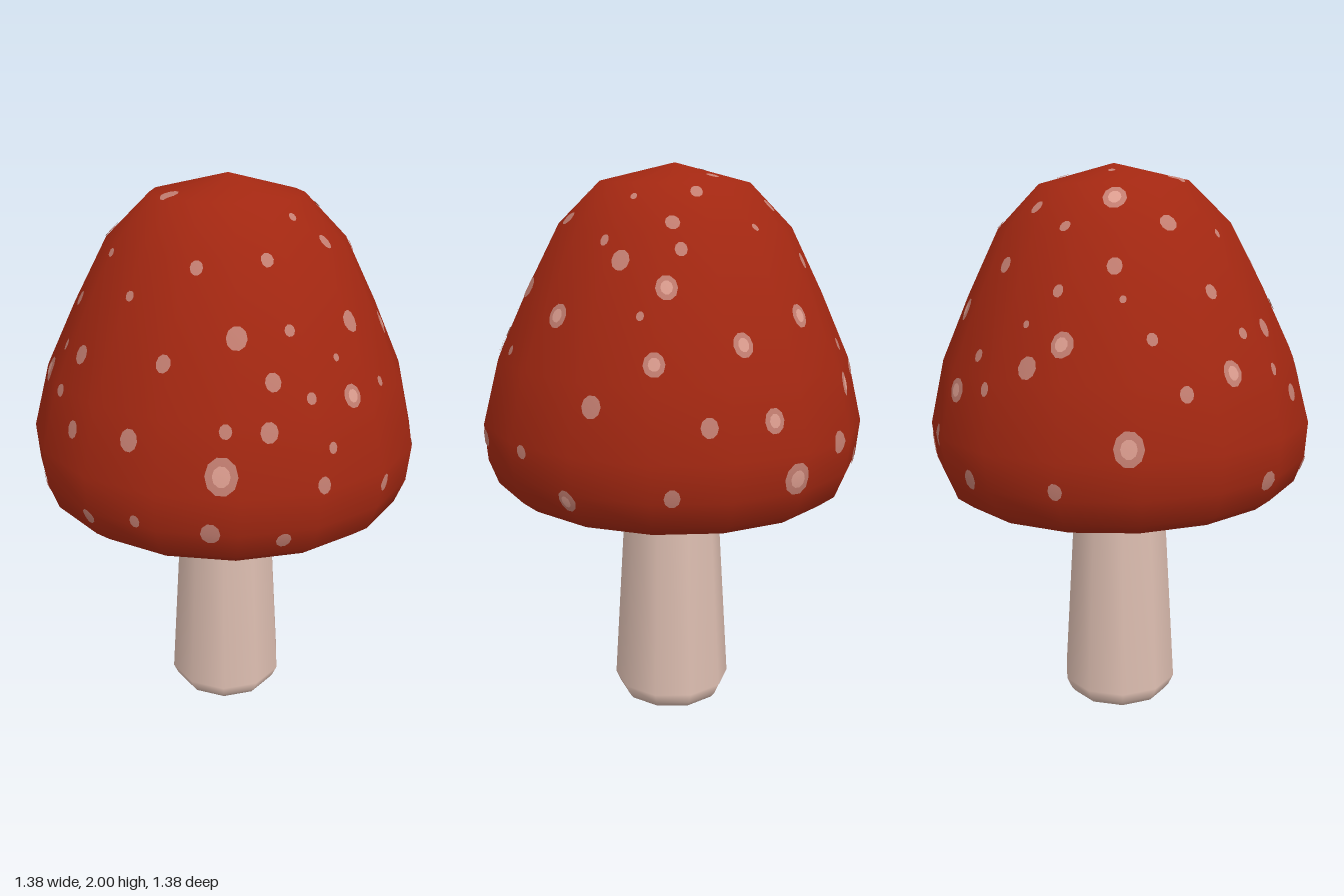
import * as THREE from 'three';

const mat = (name, color, side = THREE.FrontSide) => {
  const m = new THREE.MeshStandardMaterial({ color, side });
  m.name = name;
  return m;
};
const lathe = (pts, sides, start = 0) =>
  new THREE.LatheGeometry(pts.map(([r, y]) => new THREE.Vector2(r, y)), sides, start);

// The cap leans slightly towards +x and -z
const tilt = (g) => g.translate(0, -1.1, 0).rotateZ(-0.02).rotateX(-0.015).translate(0, 1.1, 0);

// Spots as [across, up, radius], on the front, the left side and the crown
const frontSpots = [
  [-0.23, 1.77, 0.022], [-0.02, 1.79, 0.022], [0.22, 1.81, 0.025], [0.12, 1.89, 0.014],
  [-0.41, 1.67, 0.016], [-0.16, 1.58, 0.035], [0.01, 1.59, 0.018], [0.25, 1.58, 0.034],
  [0.46, 1.51, 0.038], [0.165, 1.49, 0.012], [-0.37, 1.5, 0.027], [-0.07, 1.45, 0.028],
  [0.045, 1.395, 0.018], [0.205, 1.37, 0.036], [0.35, 1.375, 0.016], [-0.235, 1.32, 0.022],
  [-0.105, 1.31, 0.031], [-0.49, 1.265, 0.034], [-0.615, 1.24, 0.028], [-0.26, 1.185, 0.056],
  [0.105, 1.235, 0.018], [0.06, 1.13, 0.026], [0.325, 1.06, 0.028], [0.55, 1.075, 0.022],
  [-0.495, 1.005, 0.02], [-0.295, 0.99, 0.034], [-0.065, 0.95, 0.027], [0.625, 0.94, 0.036],
];
const sideSpots = [
  [-0.07, 1.805, 0.026], [0.145, 1.75, 0.018], [0.085, 1.69, 0.032], [-0.105, 1.725, 0.022],
  [-0.07, 1.61, 0.038], [0.005, 1.525, 0.014], [-0.47, 1.505, 0.037], [-0.31, 1.435, 0.038],
  [-0.05, 1.385, 0.037], [0.145, 1.25, 0.034], [-0.225, 1.195, 0.03], [-0.415, 1.2, 0.038],
  [-0.62, 1.085, 0.035], [-0.49, 1.005, 0.05], [-0.115, 0.975, 0.028], [0.07, 1.885, 0.012],
  [-0.13, 1.9, 0.022],
];
const crownSpots = [
  [-0.25, -0.525, 0.04], [-0.155, -0.585, 0.035], [-0.105, -0.54, 0.012], [-0.01, -0.64, 0.022],
  [0.07, -0.595, 0.02], [0.155, -0.625, 0.038], [0.075, -0.465, 0.026], [-0.18, -0.47, 0.02],
  [-0.12, -0.38, 0.02], [0.05, -0.345, 0.024], [0.27, -0.32, 0.014], [-0.305, -0.345, 0.027],
  [-0.36, -0.365, 0.012], [-0.455, -0.335, 0.02], [-0.485, -0.47, 0.052], [-0.56, -0.29, 0.025],
  [-0.2, -0.235, 0.042], [-0.355, -0.15, 0.03], [-0.055, -0.1, 0.014], [0.12, -0.16, 0.022],
  [-0.49, -0.095, 0.024], [-0.605, -0.12, 0.04], [-0.565, -0.02, 0.018], [-0.215, 0.05, 0.03],
  [-0.41, 0.03, 0.014], [-0.55, 0.115, 0.03], [-0.62, 0.08, 0.02],
];

export function createModel() {
  const red = mat('cap red', 0xa22711);
  const spotPink = mat('spot pink', 0xc27d70, THREE.DoubleSide);
  const spotLight = mat('spot light pink', 0xdb9c8e, THREE.DoubleSide);
  const cream = mat('stem cream', 0xdcbdb0);
  const lining = mat('cap lining', 0xc29c92, THREE.DoubleSide);

  const model = new THREE.Group();
  const add = (name, geometry, material, parent = model) => {
    const mesh = new THREE.Mesh(geometry, material);
    mesh.name = name;
    parent.add(mesh);
    return mesh;
  };

  // Stem, flared at the foot
  const stem = lathe([[0, 0], [0.185, 0], [0.2, 0.02], [0.218, 0.06], [0.172, 0.83], [0.155, 1.2]], 10, 0.2);
  add('stem', stem.translate(0.005, 0, 0), cream);

  // Cap shell from the inner rim up to the crown
  const cap = add('cap', tilt(lathe([
    [0.51, 0.84], [0.59, 0.838], [0.645, 0.88], [0.68, 0.97], [0.692, 1.1], [0.635, 1.33],
    [0.53, 1.56], [0.415, 1.785], [0.265, 1.935], [0, 2],
  ], 16, 0.072)), red);

  // Hollow underside
  add('capLining', tilt(lathe([
    [0, 1.22], [0.3, 1.17], [0.45, 1.07], [0.5, 0.94], [0.51, 0.84],
  ], 16, 0.072)), lining);

  // Spots: thin discs draped onto the cap surface
  const spots = new THREE.Group();
  spots.name = 'spots';
  model.add(spots);
  const ray = new THREE.Raycaster();
  const cast = (from, dir) => {
    ray.set(from, dir);
    return ray.intersectObject(cap)[0];
  };

  const disc = (hit, radius, lift, material) => {
    const n = hit.face.normal;
    const across = new THREE.Vector3(0, 1, 0).cross(n).normalize();
    const up = n.clone().cross(across);
    const pos = [], nor = [], index = [];
    const sides = 10;
    const put = (a, b) => {
      const p = hit.point.clone().addScaledVector(across, a).addScaledVector(up, b);
      const h = cast(p.clone().addScaledVector(n, 0.2), n.clone().negate()) || hit;
      const q = h === hit ? p : h.point;
      pos.push(...q.addScaledVector(n, lift).toArray());
      nor.push(...(h.normal || n).toArray());
    };
    put(0, 0);
    for (let ring = 1; ring <= 2; ring++) {
      for (let i = 0; i < sides; i++) {
        const t = (i / sides) * Math.PI * 2;
        const r = (radius * ring) / 2;
        put(Math.cos(t) * r * 0.95, Math.sin(t) * r * 1.12);
      }
    }
    for (let i = 0; i < sides; i++) {
      const a = 1 + i, b = 1 + ((i + 1) % sides);
      index.push(0, a, b, a, a + sides, b + sides, a, b + sides, b);
    }
    const g = new THREE.BufferGeometry();
    g.setAttribute('position', new THREE.Float32BufferAttribute(pos, 3));
    g.setAttribute('normal', new THREE.Float32BufferAttribute(nor, 3));
    g.setIndex(index);
    add('spot', g, material, spots);
  };

  const scatter = (list, dir, place) => list.forEach(([a, b, r]) => {
    let hit;
    for (let k = 1; !hit && k > 0.8; k -= 0.02) hit = cast(place(a, b, k), dir);
    if (!hit) return;
    disc(hit, r, 0.004, spotPink);
    if (r > 0.035) disc(hit, r * 0.55, 0.007, spotLight); // raised pale centre
  });

  const V = (x, y, z) => new THREE.Vector3(x, y, z);
  cap.updateMatrixWorld(true);
  scatter(frontSpots, V(0, 0, -1), (x, y, k) => V(x * k, y, 3));
  scatter(sideSpots, V(-1, 0, 0), (z, y, k) => V(3, y, z * k));
  scatter(crownSpots, V(0, -1, 0), (x, z, k) => V(x * k, 4, z * k));
  scatter([[0.05, 0.98, 0.032], [-0.3, 1, 0.026]], V(0, 0, 1), (x, y, k) => V(x * k, y, -3));
  scatter([[0, 0.98, 0.032], [0.3, 0.97, 0.026]], V(1, 0, 0), (z, y, k) => V(-3, y, z * k));

  return model;
}
